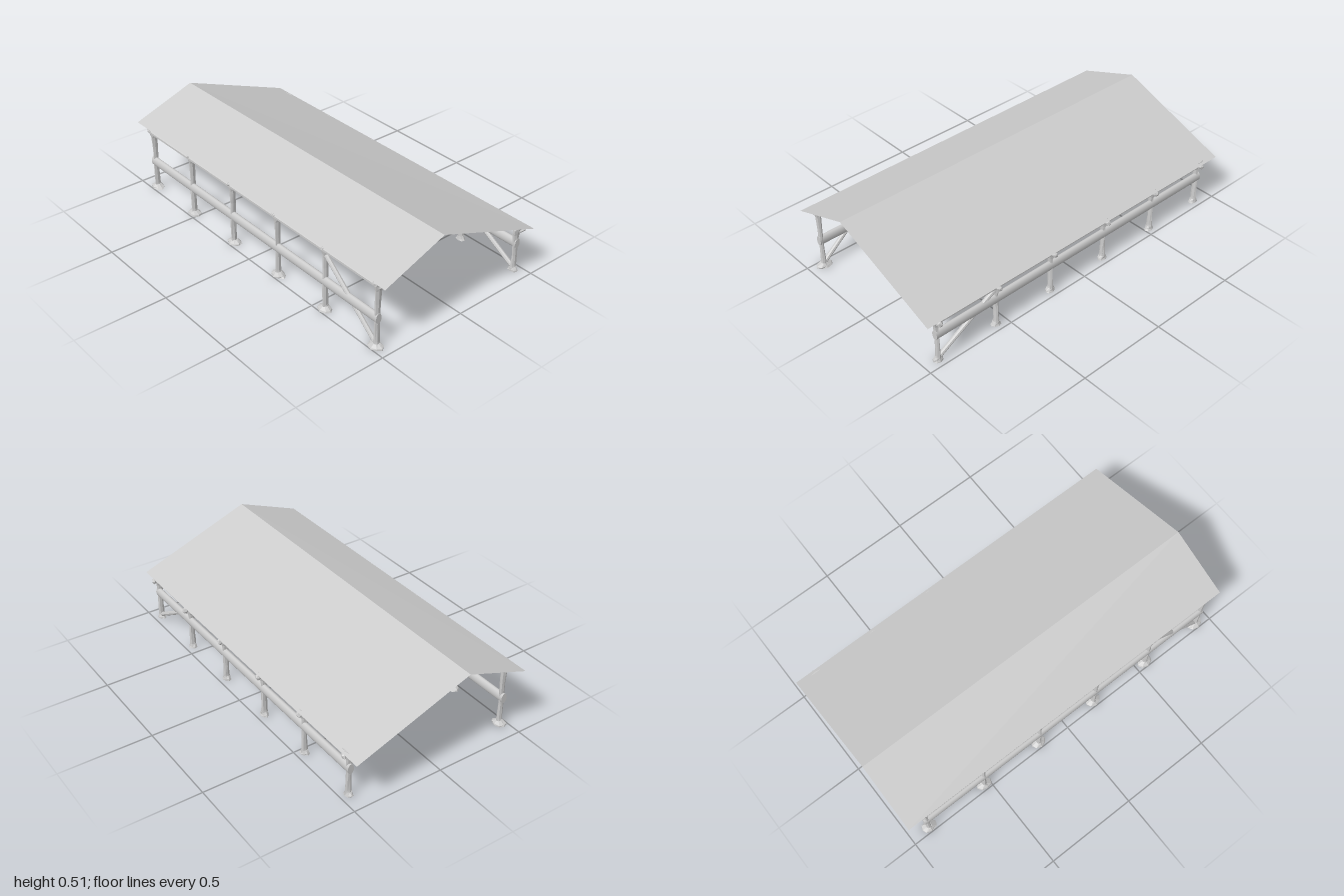
import * as THREE from 'three';

const flat = new THREE.MeshStandardMaterial({ color: 0xcccccc, flatShading: true });
const smooth = new THREE.MeshStandardMaterial({ color: 0xcccccc });
const sheet = new THREE.MeshStandardMaterial({ color: 0xcccccc, flatShading: true, side: THREE.DoubleSide });

// Small seeded generator for the rough, weathered post surfaces
function seeded(seed) {
  let s = seed;
  return () => (s = (s * 16807) % 2147483647) / 2147483647;
}

function add(parent, name, geometry, material) {
  const mesh = new THREE.Mesh(geometry, material);
  mesh.name = name;
  parent.add(mesh);
  return mesh;
}

// Closed loft through upright rings [y, halfX, halfZ, offsetX], slightly uneven
function loft(rings, sides, rand) {
  const pos = [], idx = [];
  rings.forEach(([y, hx, hz, ox]) => {
    for (let i = 0; i < sides; i++) {
      const a = (i / sides) * Math.PI * 2, k = 0.88 + 0.24 * rand();
      pos.push(ox + Math.cos(a) * hx * k, y, Math.sin(a) * hz * k);
    }
  });
  for (let r = 0; r < rings.length - 1; r++) {
    for (let i = 0; i < sides; i++) {
      const j = (i + 1) % sides, a = r * sides + i, b = r * sides + j;
      idx.push(a, a + sides, b, b, a + sides, b + sides);
    }
  }
  const top = (rings.length - 1) * sides;
  for (let i = 1; i < sides - 1; i++) {
    idx.push(0, i, i + 1, top, top + i + 1, top + i);
  }
  const g = new THREE.BufferGeometry();
  g.setAttribute('position', new THREE.Float32BufferAttribute(pos, 3));
  g.setIndex(idx);
  g.computeVertexNormals();
  return g;
}

// Straight round bar between two points
function bar(parent, name, from, to, radius, sides, material) {
  const a = new THREE.Vector3(...from), d = new THREE.Vector3(...to).sub(a);
  const mesh = add(parent, name, new THREE.CylinderGeometry(radius, radius, d.length(), sides), material);
  mesh.position.copy(a).addScaledVector(d, 0.5);
  mesh.quaternion.setFromUnitVectors(new THREE.Vector3(0, 1, 0), d.normalize());
  return mesh;
}

// Two unequal slopes meeting at an off-centre ridge, dropping a little to the back
function roofGeometry() {
  const section = [[-0.495, 0.38, 0.38], [-0.14, 0.515, 0.507], [0.493, 0.276, 0.27]];
  const pos = [];
  for (const [x, yFront, yBack] of section) pos.push(x, yFront, 0.995, x, yBack, -1);
  const g = new THREE.BufferGeometry();
  g.setAttribute('position', new THREE.Float32BufferAttribute(pos, 3));
  g.setIndex([0, 2, 1, 1, 2, 3, 2, 4, 3, 3, 4, 5]);
  const faceted = g.toNonIndexed();
  faceted.computeVertexNormals();
  return faceted;
}

const postZ = [0.92, 0.56, 0.2, -0.17, -0.53, -0.89];

// One long wall: posts with feet and heads, rail, eave beam and corner brace
function wall({ name, side, x, top, foot, braceTop, knobX, knobY, seed }) {
  const group = new THREE.Group();
  group.name = name;
  const rand = seeded(seed);

  postZ.forEach((z) => {
    const post = new THREE.Group();
    post.name = 'post';
    post.position.set(x, 0, z);
    group.add(post);

    // shaft, narrow in the middle and spreading at the head
    add(post, 'shaft', loft([
      [0.012, 0.018, 0.017, 0],
      [0.04, 0.017, 0.012, 0],
      [top * 0.35, 0.016, 0.010, 0],
      [top * 0.65, 0.016, 0.010, -side * 0.003],
      [top - 0.06, 0.019, 0.013, -side * 0.003],
      [top - 0.03, 0.023, 0.02, -side * 0.001],
      [top - 0.004, 0.02, 0.03, 0.006 * side],
    ], 7, rand), flat);

    // splayed foot
    add(post, 'foot', loft([
      [0.008, foot, foot * 1.35, 0],
      [0.016, foot * 0.9, foot * 1.2, 0],
      [0.03, 0.017, 0.015, 0],
    ], 8, rand), flat);

    // lumpy bracket on the outside of the head
    const bracket = add(post, 'headBracket', new THREE.IcosahedronGeometry(0.018, 0), flat);
    bracket.position.set(knobX - x, knobY, 0);
    bracket.scale.set(1, 1.1, 0.8);
    bracket.rotation.set(rand(), rand(), rand());

    // short struts from post to eave beam
    for (const s of [-1, 1]) {
      bar(post, 'headStrut', [0, top - 0.055, 0], [side * 0.012, top - 0.018, s * 0.04], 0.006, 5, flat);
    }
  });

  // flattened mid rail
  const rail = add(group, 'rail', new THREE.CylinderGeometry(0.0275, 0.0275, 1.84, 16), smooth);
  rail.rotation.x = Math.PI / 2;
  rail.scale.x = 0.62;
  rail.position.set(x, 0.172, 0.012);

  // eave beam under the roof edge
  bar(group, 'eaveBeam', [x + side * 0.015, top - 0.022, 0.93], [x + side * 0.015, top - 0.026, -0.91], 0.011, 6, flat);

  // diagonal brace in the front bay
  bar(group, 'brace', [x, 0.03, 0.91], [x, braceTop, 0.56], 0.012, 8, flat);
  return group;
}

export function createModel() {
  const model = new THREE.Group();
  model.name = 'openShelter';
  add(model, 'roof', roofGeometry(), sheet);
  model.add(wall({
    name: 'lowWall', side: 1, x: 0.456, top: 0.282, foot: 0.021,
    braceTop: 0.235, knobX: 0.483, knobY: 0.253, seed: 11,
  }));
  model.add(wall({
    name: 'highWall', side: -1, x: -0.466, top: 0.386, foot: 0.033,
    braceTop: 0.33, knobX: -0.478, knobY: 0.368, seed: 47,
  }));
  return model;
}
